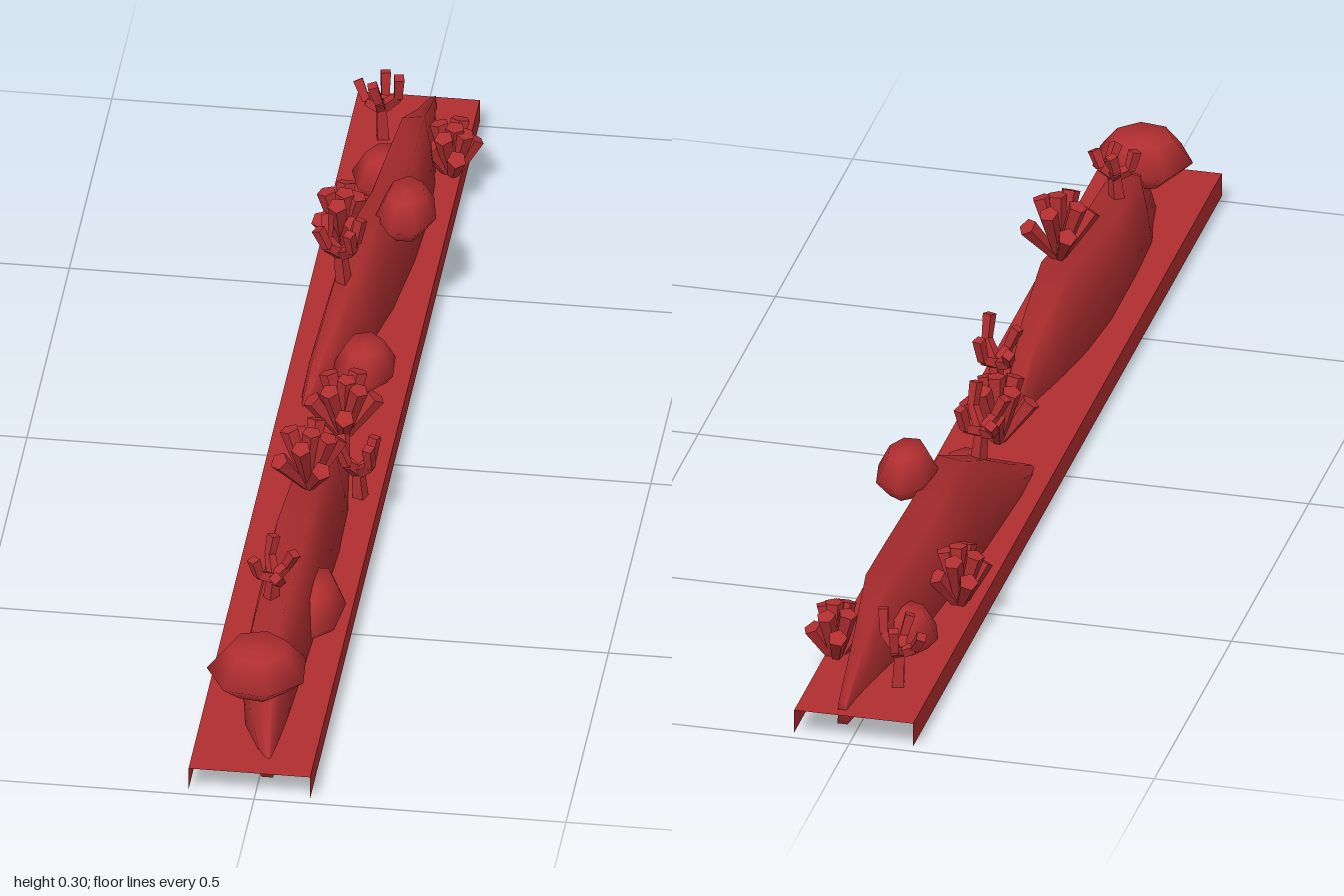
import * as THREE from 'three';

const flat = new THREE.MeshStandardMaterial({ color: 0xb02e30, flatShading: true, side: THREE.DoubleSide });
const smooth = new THREE.MeshStandardMaterial({ color: 0xb02e30, side: THREE.DoubleSide });
const V = (x, y, z) => new THREE.Vector3(x, y, z);

function add(parent, name, geometry, material) {
  const mesh = new THREE.Mesh(geometry, material);
  mesh.name = name;
  parent.add(mesh);
  return mesh;
}

// Ridge lofted through stations [z, baseMinX, crestX, baseMaxX, crestY, crestHalfWidth]
function ridgeGeometry(stations) {
  const pos = [], index = [], n = 6;
  for (const [z, a, c, b, h, w] of stations) {
    const mid = 0.03 + (h - 0.03) * 0.55;
    pos.push(a, 0.025, z, (a + c - w) / 2, mid, z, c - w, h - 0.006, z,
      c + w, h, z, (b + c + w) / 2, mid, z, b, 0.025, z);
  }
  for (let s = 0; s < stations.length - 1; s++) {
    for (let i = 0; i < n; i++) {
      const p = s * n + i, q = s * n + (i + 1) % n;
      index.push(p, q, p + n, q, q + n, p + n);
    }
  }
  for (let i = 1; i < n - 1; i++) {
    const e = (stations.length - 1) * n;
    index.push(0, i + 1, i, e, e + i, e + i + 1);
  }
  const g = new THREE.BufferGeometry();
  g.setAttribute('position', new THREE.Float32BufferAttribute(pos, 3));
  g.setIndex(index);
  g.computeVertexNormals();
  return g;
}

// Tapered prism between two points
function stick(parent, name, from, to, r0, r1, sides = 4) {
  const d = to.clone().sub(from);
  const m = add(parent, name, new THREE.CylinderGeometry(r1, r0, d.length(), sides), flat);
  m.position.copy(from).addScaledVector(d, 0.5);
  m.quaternion.setFromUnitVectors(V(0, 1, 0), d.normalize());
}

// Faceted boulder, pointed below and blunt on top
function boulder(parent, x, y, z, rx, ry, rz, turn) {
  const profile = [[0, -1.1], [0.55, -0.7], [1, 0], [0.6, 0.88], [0, 1]].map(p => new THREE.Vector2(...p));
  const g = new THREE.LatheGeometry(profile, 7, turn);
  g.scale(rx, ry, rz);
  add(parent, 'boulder', g, smooth).position.set(x, y, z);
}

// Cluster of blunt fingers that widen outward
function fingerCoral(parent, x, y, z, rx, height, rz, turn) {
  const g = new THREE.Group();
  g.name = 'fingerCoral';
  g.position.set(x, y, z);
  stick(g, 'finger', V(0, -0.02, 0), V(0.006, height, 0.008), 0.008, 0.016, 5);
  for (let i = 0; i < 8; i++) {
    const a = turn + i * Math.PI / 4, spread = i % 2 ? 0.85 : 0.55, lift = i % 2 ? 0.62 : 0.92;
    stick(g, 'finger', V(0, -0.01, 0),
      V(Math.cos(a) * rx * spread, height * lift, Math.sin(a) * rz * spread), 0.007, 0.016, 5);
  }
  parent.add(g);
}

// Forked twig with kinked arms
function twigCoral(parent, x, y, z, height, turn, spread) {
  const g = new THREE.Group();
  g.name = 'twigCoral';
  g.position.set(x, y, z);
  g.rotation.y = turn;
  const at = (a, b, c) => V(a * spread, b * height, c * spread);
  const fork = at(0, 0.4, 0);
  stick(g, 'stem', at(0.1, -0.2, 0), fork, 0.014, 0.011);
  const arms = [
    [at(0.2, 0.65, 0.65), at(0.1, 1, 0.8)],
    [at(-0.3, 0.5, -0.5), at(-0.2, 0.75, -1)],
    [at(0.45, 0.5, -0.2), at(0.6, 0.85, -0.3)],
    [at(-0.4, 0.6, 0.2), at(-0.65, 0.9, 0.1)]
  ];
  for (const [elbow, tip] of arms) {
    stick(g, 'branch', fork, elbow, 0.011, 0.009);
    stick(g, 'branchTip', elbow, tip, 0.009, 0.011);
  }
  parent.add(g);
}

export function createModel() {
  const model = new THREE.Group();
  model.name = 'coralReef';

  // Open channel base: a top sheet and two side skirts
  const top = add(model, 'baseTop', new THREE.PlaneGeometry(0.195, 2), flat);
  top.rotation.x = -Math.PI / 2;
  top.position.set(-0.0075, 0.05, 0);
  for (const [x, s] of [[-0.105, -1], [0.09, 1]]) {
    const skirt = add(model, 'baseSkirt', new THREE.PlaneGeometry(2, 0.04), flat);
    skirt.rotation.y = s * Math.PI / 2;
    skirt.position.set(x, 0.03, 0);
  }

  // Two rock ridges along the base
  add(model, 'frontRidge', ridgeGeometry([
    [0.97, 0.008, 0.016, 0.026, 0.04, 0.003],
    [0.86, -0.04, 0.0, 0.035, 0.115, 0.01],
    [0.74, -0.06, -0.015, 0.04, 0.17, 0.022],
    [0.6, -0.065, -0.012, 0.045, 0.168, 0.025],
    [0.46, -0.065, -0.01, 0.045, 0.185, 0.026],
    [0.34, -0.055, 0.0, 0.05, 0.2, 0.024],
    [0.22, -0.035, 0.01, 0.048, 0.15, 0.016],
    [0.1, -0.01, 0.012, 0.035, 0.085, 0.009],
    [-0.02, -0.002, 0.006, 0.014, 0.035, 0.003]
  ]), smooth);
  add(model, 'backRidge', ridgeGeometry([
    [-0.05, -0.078, -0.07, -0.062, 0.04, 0.003],
    [-0.18, -0.08, -0.05, -0.015, 0.11, 0.01],
    [-0.28, -0.075, -0.03, 0.02, 0.165, 0.015],
    [-0.38, -0.07, -0.01, 0.04, 0.21, 0.02],
    [-0.52, -0.06, 0.005, 0.055, 0.182, 0.022],
    [-0.64, -0.05, 0.012, 0.06, 0.175, 0.022],
    [-0.75, -0.035, 0.018, 0.055, 0.175, 0.018],
    [-0.87, -0.01, 0.018, 0.04, 0.115, 0.01],
    [-0.98, 0.008, 0.016, 0.024, 0.065, 0.006]
  ]), smooth);

  // Boulders on the crests and the base
  boulder(model, -0.015, 0.143, 0.84, 0.082, 0.046, 0.085, 0.3);
  boulder(model, 0.037, 0.058, 0.52, 0.044, 0.052, 0.088, 0.9);
  boulder(model, 0.05, 0.2, -0.43, 0.05, 0.045, 0.075, 0.5);
  boulder(model, 0.017, 0.066, -0.18, 0.052, 0.045, 0.068, 1.2);
  boulder(model, -0.022, 0.07, -0.73, 0.058, 0.045, 0.062, 0.1);

  // Finger corals
  fingerCoral(model, 0.003, 0.2, 0.375, 0.06, 0.1, 0.085, 0.2);
  fingerCoral(model, 0.008, 0.055, 0, 0.06, 0.105, 0.072, 0.6);
  fingerCoral(model, -0.072, 0.05, -0.565, 0.046, 0.095, 0.065, 0.1);
  fingerCoral(model, 0.074, 0.045, -0.79, 0.044, 0.092, 0.06, 0.4);

  // Twig corals
  twigCoral(model, -0.015, 0.165, 0.66, 0.09, Math.PI, 0.05);
  twigCoral(model, 0.055, 0.05, 0.175, 0.115, 0.4, 0.052);
  twigCoral(model, -0.035, 0.165, -0.28, 0.11, 0.3, 0.058);
  twigCoral(model, -0.05, 0.06, -0.87, 0.115, 1.0, 0.042);

  return model;
}
